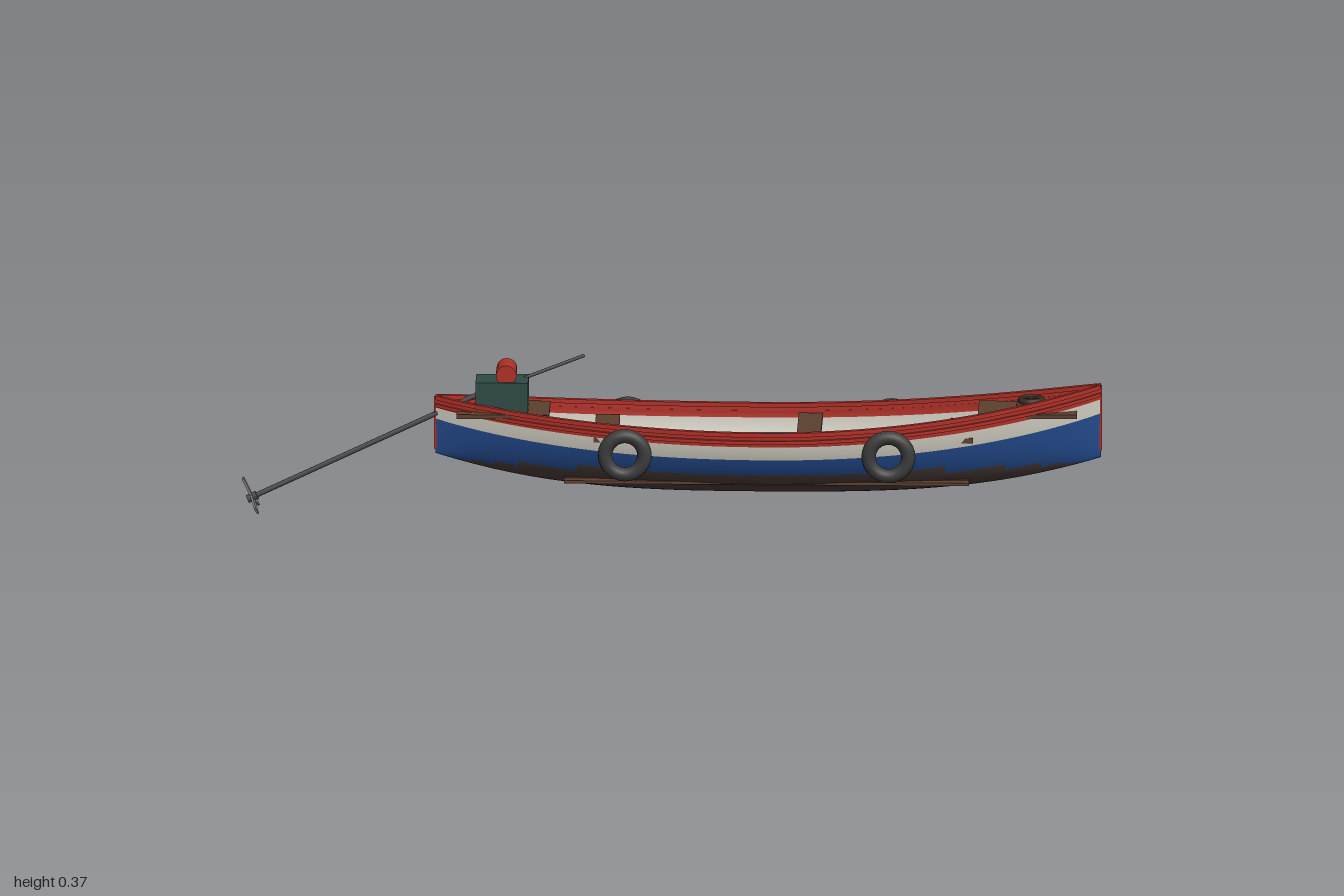
import * as THREE from 'three';

const paint = (name, color, side = THREE.FrontSide) => {
  const m = new THREE.MeshStandardMaterial({ color, side });
  m.name = name;
  return m;
};

// Hull lines: u runs from -1 (stern) to 1 (bow)
const STATIONS = 56;
const xAt = u => 0.222 + 0.772 * u;
const uAt = x => (x - 0.222) / 0.772;
const sheer = u => 0.226 + (u > 0 ? 0.086 : 0.05) * u * u;
const keel = u => 0.06 + 0.084 * Math.abs(u) ** 3;
const beam = u => 0.003 + 0.134 * Math.max(0, 1 - u * u) ** 0.87;
const WATERLINE = 0.13;

// Elliptical sections from rail to rail, coloured in bands
function hullGeometry() {
  const half = [0, 0.085, 0.17, 0.27, 0.37, 0.5, 0.62, 0.73, 0.82, 0.9, 0.96, 0.99];
  const rows = [...half.map(d => [d, 1]), [1, 0], ...half.slice().reverse().map(d => [d, -1])];
  const n = rows.length, pos = [], bands = [[], [], [], []];
  for (let i = 0; i <= STATIONS; i++) {
    const u = -1 + 2 * i / STATIONS;
    for (const [d, s] of rows) {
      pos.push(xAt(u), sheer(u) - d * (sheer(u) - keel(u)), s * beam(u) * Math.sqrt(1 - d * d));
    }
  }
  for (let i = 0; i < STATIONS; i++) {
    for (let j = 0; j < n - 1; j++) {
      const a = i * n + j, b = a + n, c = a + 1, e = b + 1;
      const d = (rows[j][0] + rows[j + 1][0]) / 2;
      const y = (pos[a * 3 + 1] + pos[b * 3 + 1] + pos[c * 3 + 1] + pos[e * 3 + 1]) / 4;
      const band = d < 0.17 ? 0 : d < 0.37 ? 1 : y > WATERLINE ? 2 : 3;
      bands[band].push(a, c, b, b, c, e);
    }
  }
  const g = new THREE.BufferGeometry();
  g.setAttribute('position', new THREE.Float32BufferAttribute(pos, 3));
  g.setIndex(bands.flat());
  let start = 0;
  bands.forEach((list, k) => { g.addGroup(start, list.length, k); start += list.length; });
  g.computeVertexNormals();
  return g;
}

// Square-edged rail that follows the sheer on one side
function railGeometry(s, dy, dz, hy, hz) {
  const corners = [[1, 1], [1, -1], [-1, -1], [-1, 1]];
  if (s < 0) corners.reverse();
  const pos = [], idx = [];
  for (let i = 0; i <= STATIONS; i++) {
    const u = -1 + 2 * i / STATIONS;
    for (const [cz, cy] of corners) {
      pos.push(xAt(u), sheer(u) + dy + cy * hy, s * Math.max(0, beam(u) + dz + cz * hz));
    }
  }
  for (let i = 0; i < STATIONS; i++) {
    for (let j = 0; j < 4; j++) {
      const a = i * 4 + j, c = i * 4 + (j + 1) % 4;
      idx.push(a, c, a + 4, a + 4, c, c + 4);
    }
  }
  const g = new THREE.BufferGeometry();
  g.setAttribute('position', new THREE.Float32BufferAttribute(pos, 3));
  g.setIndex(idx);
  const flat = g.toNonIndexed();
  flat.computeVertexNormals();
  return flat;
}

export function createModel() {
  const boat = new THREE.Group();
  boat.name = 'motorBoat';
  const D = THREE.DoubleSide;
  const red = paint('red paint', 0xb03028, D);
  const cream = paint('cream paint', 0xd0ccc0, D);
  const blue = paint('blue paint', 0x234a8c, D);
  const bottom = paint('bottom brown', 0x4a3c38, D);
  const wood = paint('wood', 0x5c4030);
  const rope = paint('dark rope', 0x3a2a22);
  const rubber = paint('rubber', 0x3c3c3c);
  const green = paint('engine green', 0x2f4a44);
  const steel = paint('steel', 0x808080);
  const darkSteel = paint('dark steel', 0x4a4c50);

  const add = (name, geo, mat, x = 0, y = 0, z = 0, parent = boat) => {
    const m = new THREE.Mesh(geo, mat);
    m.name = name;
    m.position.set(x, y, z);
    parent.add(m);
    return m;
  };
  const box = (name, mat, w, h, d, x, y, z, parent) =>
    add(name, new THREE.BoxGeometry(w, h, d), mat, x, y, z, parent);
  const rod = (name, mat, from, to, r) => {
    const a = new THREE.Vector3(...from), b = new THREE.Vector3(...to);
    const m = add(name, new THREE.CylinderGeometry(r, r, a.distanceTo(b), 10), mat);
    m.position.copy(a).add(b).multiplyScalar(0.5);
    m.quaternion.setFromUnitVectors(new THREE.Vector3(0, 1, 0), b.sub(a).normalize());
    return m;
  };

  // Hull, rails and end posts
  add('hull', hullGeometry(), [red, cream, blue, bottom]);
  for (const s of [1, -1]) {
    const side = s > 0 ? 'left' : 'right';
    add(side + 'Gunwale', railGeometry(s, 0.002, 0, 0.005, 0.006), red);
    add(side + 'RubRail', railGeometry(s, -0.016, 0.003, 0.004, 0.004), red);
  }
  box('bowStem', red, 0.006, 0.155, 0.007, 0.994, 0.238, 0);
  box('sternPost', red, 0.006, 0.125, 0.007, -0.55, 0.217, 0);

  // Floor slats
  for (let i = 0; i < 6; i++) {
    box('floorSlat', wood, 0.94, 0.007, 0.024, 0.22, 0.098, (i - 2.5) * 0.029);
  }

  // Cross seats and end decks
  for (const x of [-0.152, 0.318, 0.672]) {
    box('seat', wood, 0.056, 0.012, 2 * beam(uAt(x)) - 0.01, x, 0.205, 0);
  }
  box('bowDeck', wood, 0.23, 0.01, 0.124, 0.825, 0.256, 0);
  box('sternDeck', wood, 0.215, 0.01, 0.13, -0.392, 0.248, 0);

  // Coiled rope on the bow deck
  for (const [r, y] of [[0.027, 0.268], [0.023, 0.279]]) {
    add('ropeCoil', new THREE.TorusGeometry(r, 0.009, 8, 24), y > 0.27 ? rope : wood, 0.833, y, 0)
      .rotation.x = Math.PI / 2;
  }
  add('bollard', new THREE.CylinderGeometry(0.012, 0.012, 0.026, 12), rope, 0.833, 0.273, 0);

  // Tyre fenders
  for (const x of [-0.107, 0.505]) {
    for (const s of [1, -1]) {
      add('tyreFender', new THREE.TorusGeometry(0.046, 0.0168, 12, 28), rubber, x, 0.18, s * 0.147);
    }
  }

  // Engine with fuel tank and tiller
  box('engineBlock', green, 0.122, 0.07, 0.082, -0.395, 0.288, 0);
  add('fuelTank', new THREE.CylinderGeometry(0.024, 0.024, 0.07, 20), red, -0.385, 0.339, 0)
    .rotation.x = Math.PI / 2;
  rod('tiller', darkSteel, [-0.36, 0.315, -0.014], [-0.205, 0.37, -0.038], 0.004);

  // Long shaft and three-bladed propeller
  const tip = [-0.975, 0.035, 0], head = [-0.42, 0.3, 0];
  rod('propellerShaft', darkSteel, tip, head, 0.006);
  const prop = new THREE.Group();
  prop.name = 'propeller';
  prop.position.set(...tip);
  prop.rotation.z = Math.atan2(head[1] - tip[1], head[0] - tip[0]);
  boat.add(prop);
  add('hub', new THREE.CylinderGeometry(0.01, 0.01, 0.024, 12), darkSteel, 0, 0, 0, prop)
    .rotation.z = Math.PI / 2;
  for (let i = 0; i < 3; i++) {
    const arm = new THREE.Group();
    arm.name = 'bladeArm';
    arm.rotation.x = i * Math.PI * 2 / 3;
    prop.add(arm);
    box('blade', steel, 0.005, 0.048, 0.02, 0, 0.026, 0, arm);
  }
  return boat;
}
